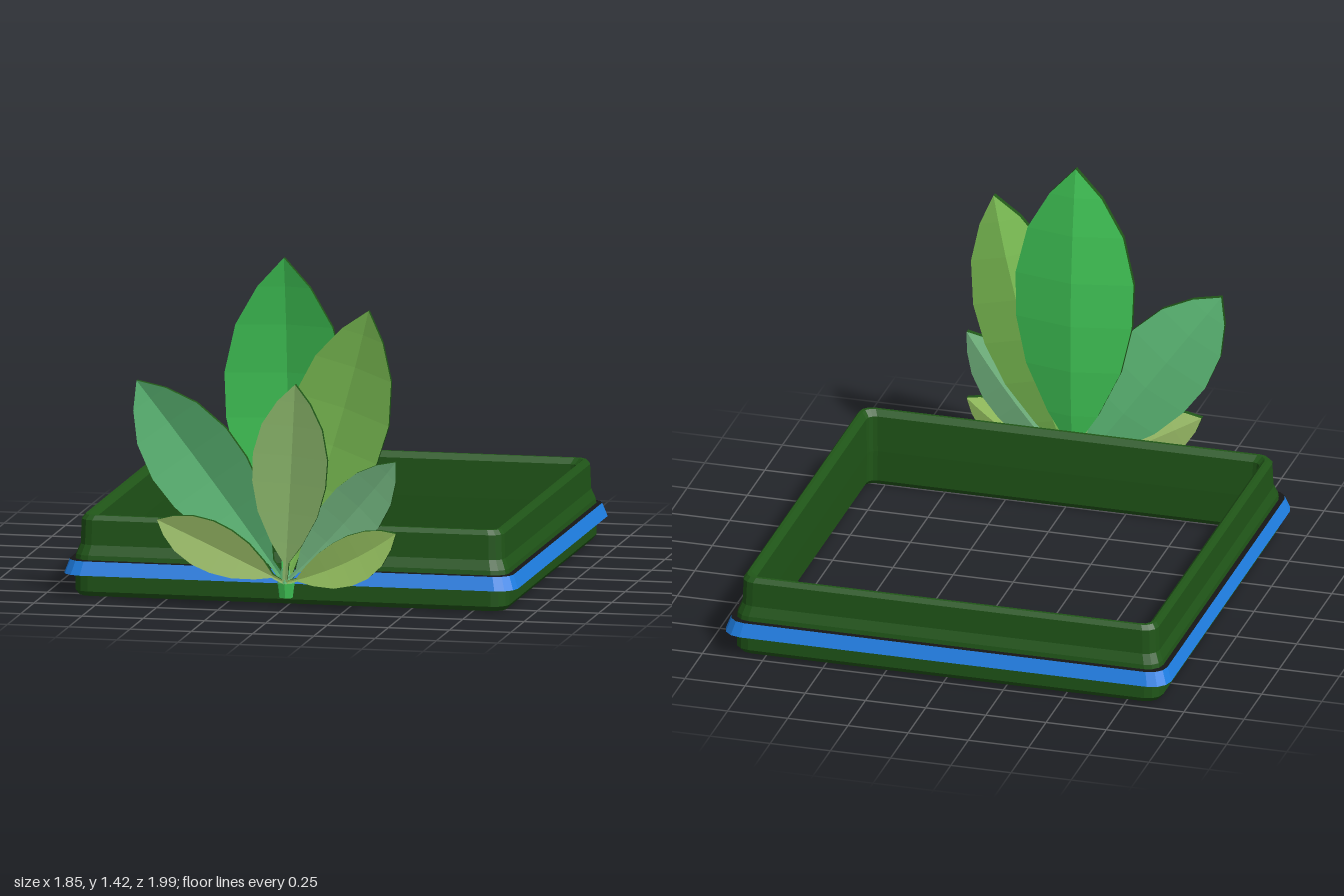
import * as THREE from 'three';

const mat = (color) => new THREE.MeshStandardMaterial({ color, flatShading: true });
const GREEN = mat(0x205618), BLACK = mat(0x161616), BLUE = mat(0x1f80e6);

// Flat-shaded surface through rows of points; faces point along column x row direction
function gridGeometry(...grids) {
  const pos = [];
  for (const rows of grids) {
    for (let r = 0; r < rows.length - 1; r++) {
      for (let c = 0; c < rows[r].length - 1; c++) {
        const a = rows[r][c], b = rows[r][c + 1], d = rows[r + 1][c + 1], e = rows[r + 1][c];
        for (const p of [a, b, d, a, d, e]) pos.push(p.x, p.y, p.z);
      }
    }
  }
  const g = new THREE.BufferGeometry();
  g.setAttribute('position', new THREE.Float32BufferAttribute(pos, 3));
  g.computeVertexNormals();
  return g;
}

function addMesh(parent, name, geometry, material) {
  const m = new THREE.Mesh(geometry, material);
  m.name = name;
  parent.add(m);
  return m;
}

// Sweep a [half width, height] profile round a square with softened corners
function squareSweep(profile) {
  const rows = [];
  for (let q = 0; q < 4; q++) {
    for (const k of [0, 1, 2, 3]) {
      const a = (k / 3) * Math.PI / 2, t = q * Math.PI / 2;
      rows.push(profile.map(([d, y]) => {
        const r = 0.035 + Math.max(0, d - 0.815) * 0.4;
        const x = d - r + r * Math.cos(a), z = d - r + r * Math.sin(a);
        return new THREE.Vector3(x * Math.cos(t) - z * Math.sin(t), y, x * Math.sin(t) + z * Math.cos(t));
      }));
    }
  }
  rows.push(rows[0]);
  return gridGeometry(rows);
}

// Leaf blade: relative half width along its length
const LEAF = [[0, 0.07], [0.1, 0.07], [0.2, 0.42], [0.35, 0.8], [0.5, 0.98], [0.64, 1], [0.79, 0.81], [0.91, 0.44], [1, 0]];
const BASE = [0, 0.1];

// A folded leaf whose midrib lies behind its edges, with a dark rim
function makeLeaf({ name, tip, z, width, bow = 0, color }) {
  const group = new THREE.Group();
  group.name = name;
  const dir = new THREE.Vector2(tip[0] - BASE[0], tip[1] - BASE[1]);
  const side = new THREE.Vector2(dir.y, -dir.x).normalize();
  const thick = 0.022, fold = 0.21;
  const front = [], back = [], rimRight = [], rimLeft = [];
  for (const [t, w] of LEAF) {
    const hump = 4 * t * (1 - t), h = w * width;
    const zMid = z[0] + (z[2] - z[0]) * t + (z[1] - (z[0] + z[2]) / 2) * hump;
    const pt = (k, dz) => new THREE.Vector3(
      BASE[0] + dir.x * t + side.x * (k * h + bow * hump),
      BASE[1] + dir.y * t + side.y * (k * h + bow * hump),
      zMid + Math.abs(k) * h * fold + dz);
    const f = [-1, 0, 1].map((k) => pt(k, thick / 2));
    const b = [1, 0, -1].map((k) => pt(k, -thick / 2));
    front.push(f);
    back.push(b);
    rimRight.push([f[2], b[0]]);
    rimLeft.push([b[2], f[0]]);
  }
  addMesh(group, name + 'Blade', gridGeometry(front, back), mat(color));
  addMesh(group, name + 'Rim', gridGeometry(rimRight, rimLeft), GREEN);
  return group;
}

export function createModel() {
  const model = new THREE.Group();
  model.name = 'leafFrame';

  // Square frame, set slightly back to leave room for the leaves
  const frame = new THREE.Group();
  frame.name = 'frame';
  frame.position.z = -0.075;
  model.add(frame);
  addMesh(frame, 'lowerWall', squareSweep([[0.83, 0], [0.87, 0], [0.885, 0.02], [0.885, 0.09]]), GREEN);
  addMesh(frame, 'bandUnderside', squareSweep([[0.88, 0.09], [0.925, 0.09]]), BLACK);
  addMesh(frame, 'band', squareSweep([[0.925, 0.09], [0.905, 0.145]]), BLUE);
  addMesh(frame, 'bandTop', squareSweep([[0.905, 0.145], [0.882, 0.147]]), BLACK);
  addMesh(frame, 'upperWall', squareSweep([[0.885, 0.145], [0.882, 0.165], [0.866, 0.205],
    [0.862, 0.305], [0.848, 0.323], [0.835, 0.323], [0.815, 0.3], [0.812, 0.15], [0.815, 0.02], [0.83, 0]]), GREEN);

  // Fan of leaves, from back to front
  const leaves = new THREE.Group();
  leaves.name = 'leaves';
  model.add(leaves);
  [
    { name: 'tallLeaf', tip: [0, 1.42], z: [0.865, 0.825, 0.9], width: 0.245, color: 0x40c656 },
    { name: 'tallLeftLeaf', tip: [0.36, 1.23], z: [0.87, 0.87, 0.965], width: 0.2, bow: 0.015, color: 0x82c858 },
    { name: 'rightLeaf', tip: [-0.59, 0.91], z: [0.87, 0.885, 0.95], width: 0.185, color: 0x60c07a },
    { name: 'middleFrontLeaf', tip: [0.06, 0.92], z: [0.88, 0.915, 0.965], width: 0.152, color: 0x94c272 },
    { name: 'leftLeaf', tip: [0.47, 0.62], z: [0.875, 0.9, 0.96], width: 0.115, bow: 0.012, color: 0x7cc48a },
    { name: 'smallRightLeaf', tip: [-0.5, 0.355], z: [0.88, 0.92, 0.98], width: 0.1, color: 0xa2c66c },
    { name: 'smallLeftLeaf', tip: [0.47, 0.33], z: [0.88, 0.92, 0.96], width: 0.095, bow: 0.025, color: 0xa8d86c },
  ].forEach((spec) => leaves.add(makeLeaf(spec)));

  // Short stalk gathering the leaf bases
  const stalk = addMesh(leaves, 'stalk', new THREE.CylinderGeometry(0.036, 0.028, 0.06, 7), mat(0x40c656));
  stalk.position.set(0, 0.067, 0.872);
  stalk.scale.z = 0.6;
  const neck = addMesh(leaves, 'stalkNeck', new THREE.CylinderGeometry(0.018, 0.036, 0.06, 7), mat(0x60c07a));
  neck.position.set(0, 0.127, 0.874);
  neck.scale.z = 0.6;

  return model;
}
